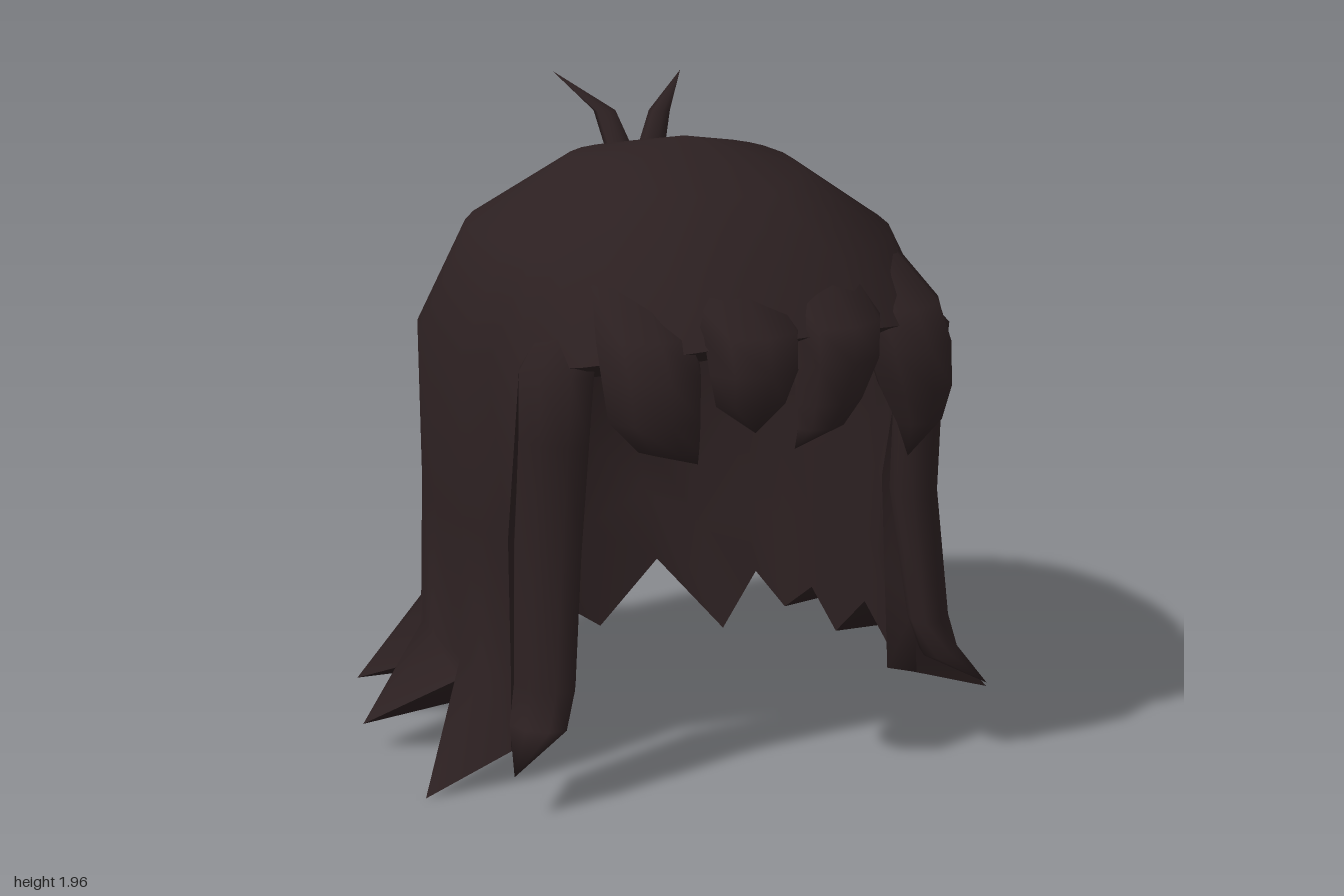
import * as THREE from 'three';
import { mergeVertices } from 'three/addons/utils/BufferGeometryUtils.js';

const hair = new THREE.MeshStandardMaterial({ color: 0x2c2021, side: THREE.DoubleSide });
hair.name = 'darkBrownHair';

// Smooth mesh from a list of quads (corners counter-clockwise)
function quadMesh(name, quads) {
  const pos = [];
  for (const [a, b, c, d] of quads) pos.push(...a, ...b, ...c, ...a, ...c, ...d);
  let geo = new THREE.BufferGeometry();
  geo.setAttribute('position', new THREE.Float32BufferAttribute(pos, 3));
  geo = mergeVertices(geo, 1e-4);
  geo.computeVertexNormals();
  const mesh = new THREE.Mesh(geo, hair);
  mesh.name = name;
  return mesh;
}

// Lock of hair: sections [x, y, z, half width, half depth], slope skews z along x
function lock(name, sections, slope = 0, sides = 8) {
  const rings = sections.map(([x, y, z, w, d]) =>
    Array.from({ length: sides }, (_, i) => {
      const a = (i / sides) * Math.PI * 2;
      const dx = w * Math.sin(a);
      return [x + dx, y, z + d * Math.cos(a) + slope * dx];
    }));
  const up = sections[0][1] < sections[sections.length - 1][1];
  const quads = [];
  for (let r = 0; r + 1 < rings.length; r++)
    for (let i = 0; i < sides; i++) {
      const k = (i + 1) % sides, A = rings[r], B = rings[r + 1];
      quads.push(up ? [A[i], A[k], B[k], B[i]] : [A[i], B[i], B[k], A[k]]);
    }
  return quadMesh(name, quads);
}

// Column angles on the half from front (90) to back (-90); the hem starts at REAR
const ANGLES = [90, 75, 60, 42, 25, 15, 5, -8, -17, -28, -44, -61, -74, -90];
const LAST = ANGLES.length - 1, COLS = LAST * 2, REAR = 4;

// Rings: half width, centre z, front z, back z, then y at front, side, back
const RINGS = [
  [0, 0.08, 0.08, 0.08, 1.84, 1.84, 1.84],
  [0.31, 0.08, 0.47, -0.33, 1.73, 1.77, 1.75],
  [0.6, 0.03, 0.7, -0.65, 1.57, 1.57, 1.53],
  [0.745, 0, 0.83, -0.78, 1.4, 1.25, 1.22],
  [0.735, 0, 0.58, -0.81, 0.74, 0.74, 0.72],
  [0.755, 0, 0.68, -0.79, 0.32, 0.32, 0.34],
];
const HEM_ROW = RINGS.length;

// Hem points alternating between tips and notches, front edge to back centre
const HEM = [
  [0.7, 0.1, 0.33], [0.97, 0, 0.32], [0.76, 0.25, 0.08], [1, 0.085, -0.1], [0.76, 0.2, -0.23],
  [0.91, 0.12, -0.38], [0.6, 0.21, -0.56], [0.43, 0.11, -0.76], [0.27, 0.26, -0.75], [0, 0.15, -0.89],
];
// Matching points on the inside, where the underside of the thick tips ends
const INNER_HEM = [
  [0.61, 0.12, 0.3], [0.73, 0.055, 0.19], [0.66, 0.26, 0.07], [0.69, 0.075, -0.16], [0.63, 0.22, -0.22],
  [0.58, 0.13, -0.31], [0.54, 0.22, -0.44], [0.39, 0.06, -0.39], [0.25, 0.26, -0.6], [0, 0.09, -0.52],
];

function shellPoint(row, j, inner) {
  j = (j + COLS) % COLS;
  const k = j <= LAST ? j : COLS - j, side = j <= LAST ? 1 : -1;
  if (row === HEM_ROW) {
    const [x, y, z] = (inner ? INNER_HEM : HEM)[k - REAR];
    return [side * x, y, z];
  }
  if (inner && row === HEM_ROW - 1) {
    const a = shellPoint(row - 1, j, true), b = shellPoint(HEM_ROW, j, true);
    return a.map((v, i) => (v + b[i]) / 2);
  }
  const [rx, zc, zf, zb, yf, ys, yb] = RINGS[row];
  const a = THREE.MathUtils.degToRad(ANGLES[k]);
  const round = v => Math.sign(v) * Math.pow(Math.abs(v), 0.87);
  const c = k === 0 || k === LAST ? 0 : round(Math.cos(a)), s = round(Math.sin(a));
  const p = [side * rx * c, ys + ((s > 0 ? yf : yb) - ys) * s * s, zc + s * (s > 0 ? zf - zc : zc - zb)];
  return inner ? [p[0] * 0.9, p[1] - (p[1] > 1 ? 0.05 : 0), p[2] * 0.9] : p;
}

function shellQuads(inner) {
  const quads = [];
  for (let r = 0; r < HEM_ROW; r++) {
    const from = r < 3 ? 0 : REAR, to = r < 3 ? COLS : COLS - REAR;
    for (let j = from; j < to; j++) {
      const q = [[r, j], [r + 1, j], [r + 1, j + 1], [r, j + 1]].map(([a, b]) => shellPoint(a, b, inner));
      quads.push(inner ? q.reverse() : q);
    }
  }
  return quads;
}

// Rim joining outer and inner hair around the face opening and under the hem
function rimQuads() {
  const path = [];
  for (let r = HEM_ROW; r > 3; r--) path.push([r, COLS - REAR]);
  for (let j = -REAR; j <= REAR; j++) path.push([3, j]);
  for (let r = 4; r <= HEM_ROW; r++) path.push([r, REAR]);
  for (let j = REAR + 1; j <= COLS - REAR; j++) path.push([HEM_ROW, j]);
  return path.slice(1).map((b, i) => {
    const a = path[i];
    return [shellPoint(...a), shellPoint(...a, true), shellPoint(...b, true), shellPoint(...b)];
  });
}

export function createModel() {
  const group = new THREE.Group();
  group.name = 'hair';
  group.add(quadMesh('outerHair', shellQuads(false)));
  group.add(quadMesh('innerHair', shellQuads(true)));
  group.add(quadMesh('rimAndHemUnderside', rimQuads()));

  // Fringe of four puffed locks growing out of the dome
  group.add(lock('fringeOuterRight', [
    [-0.38, 1.53, 0.5, 0.12, 0.07], [-0.41, 1.41, 0.645, 0.145, 0.1], [-0.415, 1.31, 0.69, 0.145, 0.125],
    [-0.415, 1.19, 0.71, 0.135, 0.115], [-0.38, 1.1, 0.73, 0.09, 0.07], [-0.3, 1.05, 0.75, 0, 0]], 0.12));
  group.add(lock('fringeInnerRight', [
    [-0.14, 1.53, 0.63, 0.14, 0.07], [-0.14, 1.42, 0.765, 0.15, 0.1], [-0.145, 1.32, 0.79, 0.14, 0.105],
    [-0.165, 1.23, 0.81, 0.11, 0.08], [-0.155, 1.14, 0.82, 0, 0]]));
  group.add(lock('fringeInnerLeft', [
    [0.14, 1.53, 0.63, 0.14, 0.07], [0.135, 1.42, 0.765, 0.15, 0.1], [0.12, 1.32, 0.79, 0.145, 0.105],
    [0.085, 1.21, 0.81, 0.115, 0.08], [0.05, 1.14, 0.83, 0.08, 0.05], [-0.035, 1.08, 0.83, 0, 0]], -0.12));
  group.add(lock('fringeOuterLeft', [
    [0.38, 1.53, 0.5, 0.12, 0.07], [0.41, 1.41, 0.645, 0.145, 0.1], [0.415, 1.31, 0.69, 0.145, 0.125],
    [0.43, 1.18, 0.71, 0.12, 0.11], [0.435, 1.08, 0.73, 0.08, 0.06], [0.385, 0.98, 0.755, 0, 0]], -0.12));

  // Long strands framing the face, blending into the dome's edge
  for (const [s, label] of [[1, 'Left'], [-1, 'Right']])
    group.add(lock('sideStrand' + label, [
      [0.5, 1.45, 0.4, 0.06, 0.08], [0.605, 1.29, 0.475, 0.095, 0.095], [0.605, 1.08, 0.45, 0.09, 0.095],
      [0.615, 0.75, 0.42, 0.085, 0.1], [0.65, 0.35, 0.465, 0.08, 0.08], [0.68, 0.24, 0.485, 0.075, 0.075],
      [0.8, 0.135, 0.58, 0, 0],
    ].map(([x, ...rest]) => [s * x, ...rest]), -0.5 * s));

  // Two loose sprigs on the crown
  group.add(lock('sprigRight', [
    [-0.035, 1.73, -0.28, 0.045, 0.035], [-0.035, 1.84, -0.39, 0.035, 0.03], [-0.135, 1.945, -0.555, 0, 0]], 0, 6));
  group.add(lock('sprigLeft', [
    [0.07, 1.73, -0.28, 0.045, 0.035], [0.12, 1.84, -0.32, 0.035, 0.025], [0.205, 1.955, -0.345, 0, 0]], 0, 6));
  return group;
}
